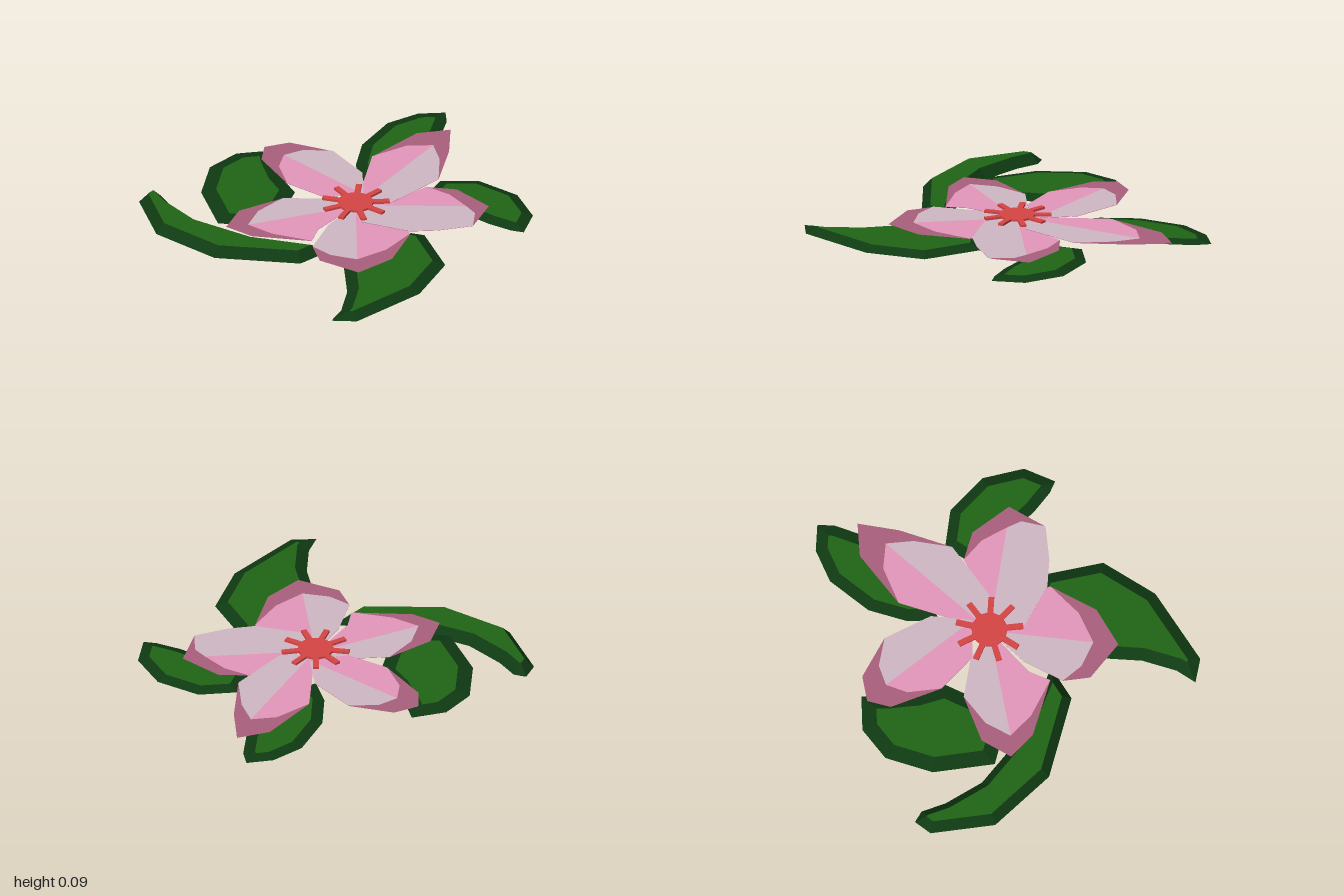
import * as THREE from 'three';

const LEAF = 0x1f6616, LEAF_RIM = 0x0f3a12;
const PINK = 0xe498bc, PALE = 0xcfb8c4, ROSE = 0xaa607c, RED = 0xd64545;

const mat = (color) => new THREE.MeshStandardMaterial({ color, flatShading: true });
const vecs = (pts) => pts.map(([x, z]) => new THREE.Vector2(x, z));

// Flat polygon in x/z at height y, facing up or down
function plate(name, pts, y, color, up = true) {
  const s = up ? -1 : 1;
  const geo = new THREE.ShapeGeometry(new THREE.Shape(pts.map((p) => new THREE.Vector2(p.x, s * p.y))));
  geo.rotateX(s * Math.PI / 2);
  const mesh = new THREE.Mesh(geo, mat(color));
  mesh.position.y = y;
  mesh.name = name;
  return mesh;
}

// Mitred inward offset of a counter-clockwise outline
function insetOutline(pts, d) {
  const n = pts.length;
  const normal = (a, b) => new THREE.Vector2(a.y - b.y, b.x - a.x).normalize();
  return pts.map((p, i) => {
    const n1 = normal(pts[(i + n - 1) % n], p), n2 = normal(p, pts[(i + 1) % n]);
    const k = d / Math.max(0.35, 1 + n1.dot(n2));
    return p.clone().addScaledVector(n1.add(n2), k);
  });
}

// Bevelled leaf: two edge curves from root to tip, dark rim sloping up to a lighter top
function makeLeaf(name, [bottom, top, inset], root, tip, sideA, sideB) {
  const g = new THREE.Group();
  g.name = name;
  const edge = (side) => new THREE.SplineCurve(vecs([root, ...side, tip])).getPoints(5);
  const outer = [...edge(sideA), ...edge(sideB).slice(1, -1).reverse()];
  if (THREE.ShapeUtils.isClockWise(outer)) outer.reverse();
  const inner = insetOutline(outer, inset);
  const pos = [];
  outer.forEach((o, i) => {
    const j = (i + 1) % outer.length, p = outer[j], a = inner[i], b = inner[j];
    pos.push(o.x, bottom, o.y, a.x, top, a.y, p.x, bottom, p.y);
    pos.push(p.x, bottom, p.y, a.x, top, a.y, b.x, top, b.y);
  });
  const geo = new THREE.BufferGeometry();
  geo.setAttribute('position', new THREE.Float32BufferAttribute(pos, 3));
  geo.computeVertexNormals();
  const rim = new THREE.Mesh(geo, mat(LEAF_RIM));
  rim.name = 'leafRim';
  g.add(rim, plate('leafUnderside', outer, bottom, LEAF_RIM, false), plate('leafTop', inner, top, LEAF));
  return g;
}

// Petal: pale backing, rose edge, and two halves meeting on a ridge from the root.
// The outline starts at the root; pinkTo and paleTo index the shoulders where the rose edge begins.
function makePetal(name, y, ridgeEnd, pinkTo, paleTo, points) {
  const g = new THREE.Group();
  g.name = name;
  const outline = vecs(points);
  const [end] = vecs([ridgeEnd]);
  // Inner edge bulges a little toward the next outline corner
  const bulge = (shoulder, next) => outline[shoulder].clone().lerp(end, 0.5).lerp(outline[next], 0.28);
  const pink = [...outline.slice(0, pinkTo + 1), bulge(pinkTo, pinkTo + 1), end];
  const pale = [outline[0], end, bulge(paleTo, paleTo - 1), ...outline.slice(paleTo)];
  g.add(
    plate('petalBacking', outline, y - 0.002, PALE, false),
    plate('petalEdge', outline, y, ROSE),
    plate('petalPinkHalf', pink, y + 0.002, PINK),
    plate('petalPaleHalf', pale, y + 0.002, PALE));
  return g;
}

// Flower centre: one extruded star of nine square-ended spokes
function makeCentre() {
  const pts = [], half = 0.015;
  for (let i = 0; i < 9; i++) {
    const a = -Math.PI / 2 + i * Math.PI * 2 / 9;
    for (const [r, w] of [[0.09, -half], [0.175, -half], [0.175, half], [0.09, half]]) {
      pts.push(new THREE.Vector2(r, w).rotateAround(new THREE.Vector2(), a));
    }
  }
  const geo = new THREE.ExtrudeGeometry(new THREE.Shape(pts), { depth: 0.012, bevelEnabled: false });
  geo.rotateX(-Math.PI / 2);
  const mesh = new THREE.Mesh(geo, mat(RED));
  mesh.position.set(-0.05, 0.083, 0.08);
  mesh.name = 'flowerCentre';
  return mesh;
}

export function createModel() {
  const model = new THREE.Group();
  model.name = 'flower';
  const hub = [-0.05, 0.08];

  // Leaves: bottom, top and rim width, then root, tip and the two sides
  model.add(
    makeLeaf('leafBackLeft', [0, 0.05, 0.045], [-.4, .17], [-.47, -.92],
      [[-.59, .12], [-.8, -.27], [-.78, -.65], [-.57, -.91]], [[-.57, -.3], [-.55, -.65], [-.46, -.83]]),
    makeLeaf('leafBack', [0.037, 0.056, 0.075], [-.45, -.22], [.19, -.62],
      [[-.56, -.42], [-.36, -.67], [-.13, -.78], [.06, -.75]], [[-.12, -.25], [.02, -.45]]),
    makeLeaf('leafRight', [0.056, 0.069, 0.06], [.18, -.05], [.99, -.1],
      [[.41, -.24], [.8, -.27]], [[.5, .06], [.84, 0]]),
    makeLeaf('leafFrontRight', [0.044, 0.063, 0.055], [.28, .29], [.27, .91],
      [[.47, .28], [.575, .55], [.47, .82]], [[.25, .45], [.235, .77]]),
    makeLeaf('leafFrontLeft', [0.03, 0.056, 0.06], [-.12, .24], [-1, .61],
      [[-.03, .5], [-.21, .76], [-.52, .82], [-.93, .72]], [[-.45, .3], [-.78, .55]]));

  // Petals: height, ridge end, shoulder indices, outline from the pink side round
  model.add(
    makePetal('petalBack', 0.08, [.13, -.5], 2, 6,
      [[.05, .06], [-.09, -.09], [-.09, -.32], [.03, -.57], [.14, -.63], [.25, -.55], [.31, -.32], [.22, -.07]]),
    makePetal('petalRight', 0.076, [.66, .06], 1, 5,
      [hub, [.39, -.13], [.71, -.08], [.84, .04], [.66, .16], [.4, .28], [.08, .22]]),
    makePetal('petalFrontRight', 0.072, [.27, .55], 2, 5,
      [hub, [.08, .2], [.31, .27], [.38, .41], [.34, .64], [.13, .69], [-.1, .46], [-.17, .2]].toSpliced(6, 0, [-.01, .57])
        .filter((p) => p !== null)),
    makePetal('petalFrontLeft', 0.068, [-.48, .4], 2, 6,
      [hub, [-.03, .3], [-.11, .47], [-.37, .54], [-.58, .48], [-.6, .25], [-.51, .14], [-.29, .08]]),
    makePetal('petalBackLeft', 0.064, [-.52, -.26], 2, 6,
      [hub, [-.35, .06], [-.46, .1], [-.6, -.18], [-.6, -.34], [-.43, -.38], [-.2, -.27], [-.08, -.09]]));
  model.add(makeCentre());
  return model;
}
